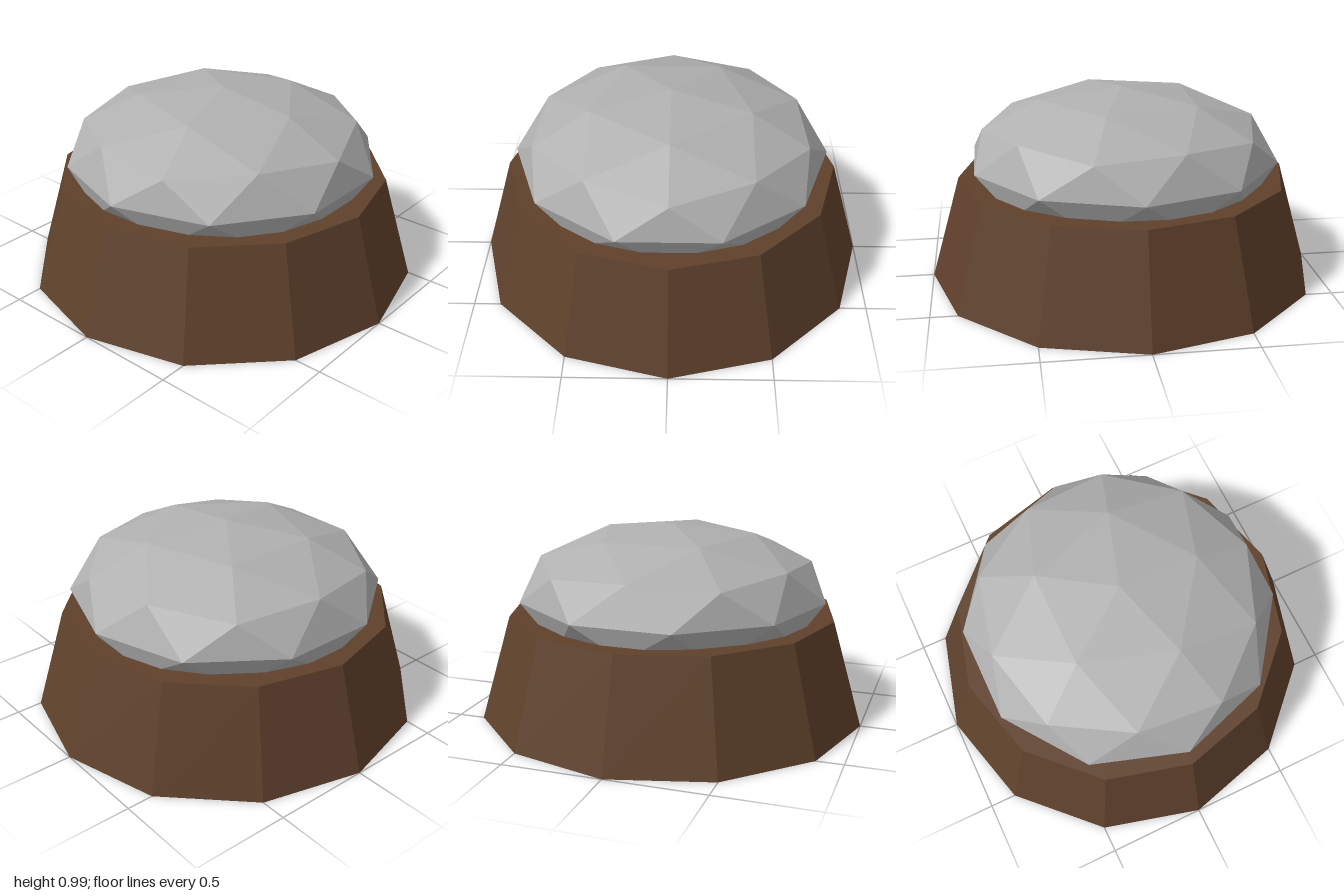
import * as THREE from 'three';

export function createModel() {
  const model = new THREE.Group();
  model.name = 'stoneOnBase';

  const brown = new THREE.MeshStandardMaterial({ color: 0x5f412c, flatShading: true });
  brown.name = 'brown';
  const grey = new THREE.MeshStandardMaterial({ color: 0xb0b0b0, flatShading: true });
  grey.name = 'grey';

  // Tapered twelve-sided base
  const baseHeight = 0.535;
  const base = new THREE.Mesh(new THREE.CylinderGeometry(0.845, 1, baseHeight, 12), brown);
  base.name = 'base';
  base.position.y = baseHeight / 2;
  model.add(base);

  // Faceted dome: a flattened icosphere with one corner turned straight up
  const domeGeometry = new THREE.IcosahedronGeometry(0.8, 1);
  domeGeometry.rotateZ(-Math.atan(2 / (1 + Math.sqrt(5))));
  domeGeometry.scale(1, 0.45, 1);
  domeGeometry.computeVertexNormals();
  const dome = new THREE.Mesh(domeGeometry, grey);
  dome.name = 'dome';
  dome.position.y = 0.625;
  model.add(dome);

  return model;
}
